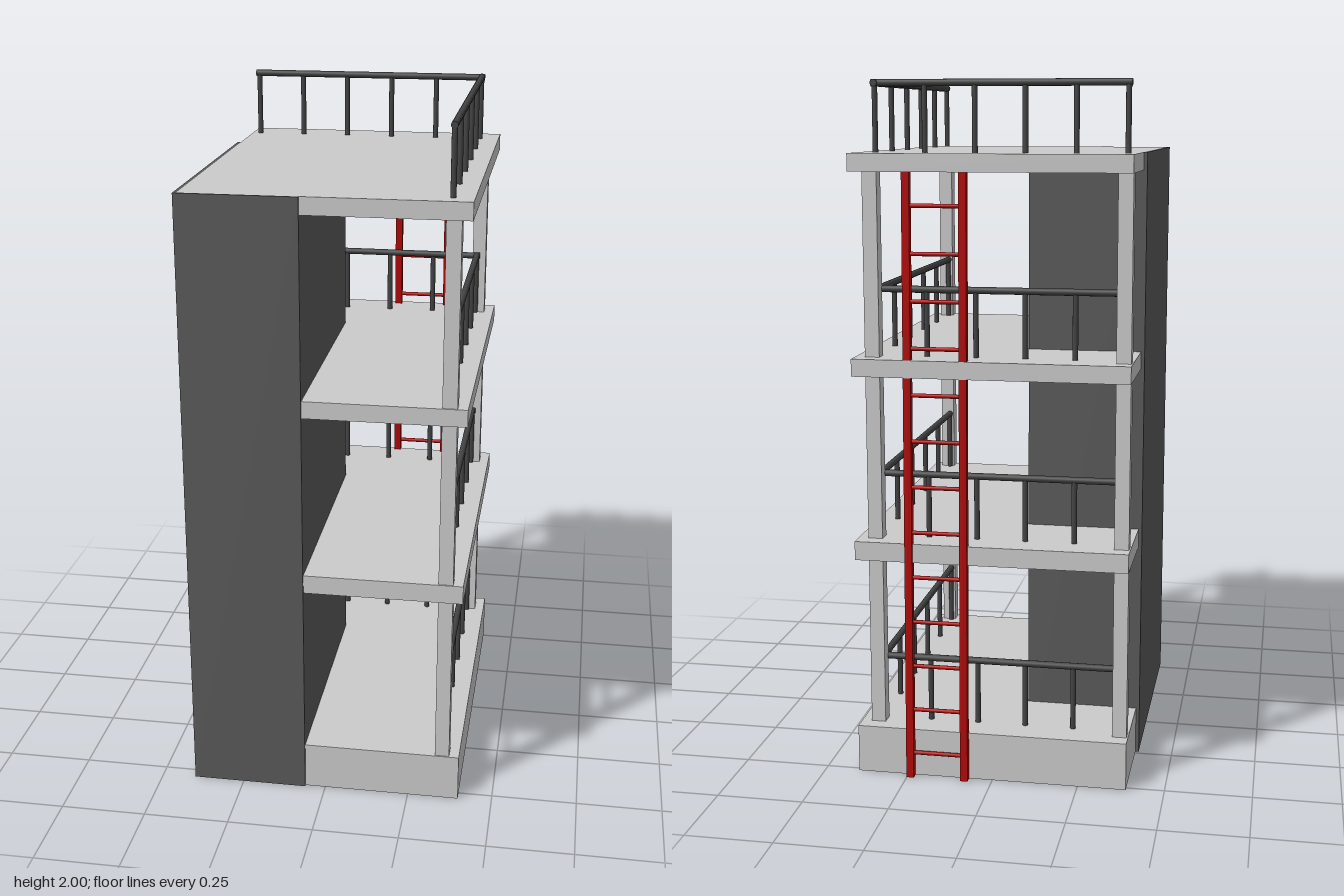
import * as THREE from 'three';

const grey = new THREE.MeshStandardMaterial({ color: 0xcccccc });
const wallMat = new THREE.MeshStandardMaterial({ color: 0x5a5a5a });
const railMat = new THREE.MeshStandardMaterial({ color: 0x444444 });
const red = new THREE.MeshStandardMaterial({ color: 0xb00808 });

// Box given by its limits on each axis
function box(parent, name, mat, [x0, x1], [y0, y1], [z0, z1]) {
  const m = new THREE.Mesh(new THREE.BoxGeometry(x1 - x0, y1 - y0, z1 - z0), mat);
  m.position.set((x0 + x1) / 2, (y0 + y1) / 2, (z0 + z1) / 2);
  m.name = name;
  parent.add(m);
}

// Round bar between two points
function bar(parent, name, mat, a, b, r) {
  const p = new THREE.Vector3(...a), q = new THREE.Vector3(...b);
  const d = q.clone().sub(p);
  const m = new THREE.Mesh(new THREE.CylinderGeometry(r, r, d.length(), 12), mat);
  m.position.copy(p).add(q).multiplyScalar(0.5);
  m.quaternion.setFromUnitVectors(new THREE.Vector3(0, 1, 0), d.normalize());
  m.name = name;
  parent.add(m);
}

function group(parent, name) {
  const g = new THREE.Group();
  g.name = name;
  parent.add(g);
  return g;
}

// L-shaped railing along the back and the left side of one floor
function railing(parent, floorY) {
  const g = group(parent, 'railing');
  const y = floorY + 0.19, x0 = -0.365, x1 = 0.342, z0 = -0.425, z1 = 0.479;
  bar(g, 'backHandrail', railMat, [x0 - 0.01, y, z0], [x1 + 0.01, y, z0], 0.01);
  bar(g, 'sideHandrail', railMat, [x1, y, z0 - 0.014], [x1, y, z1 + 0.01], 0.01);
  for (let i = 0; i < 6; i++) {
    const x = x0 + (x1 - x0) * i / 5, z = z0 + (z1 - z0) * i / 5;
    bar(g, 'backPost', railMat, [x, floorY - 0.01, z0], [x, y, z0], 0.008);
    if (i > 0) bar(g, 'sidePost', railMat, [x1, floorY - 0.01, z], [x1, y, z], 0.008);
  }
}

export function createModel() {
  const model = new THREE.Group();
  model.name = 'tower';
  const X = [-0.39, 0.4], Z = [-0.515, 0.53], t = 0.004;

  // Hollow base, open underneath
  const base = group(model, 'base');
  box(base, 'baseTop', grey, X, [0.14 - t, 0.14], Z);
  box(base, 'baseBack', grey, X, [0, 0.14 - t], [Z[0], Z[0] + t]);
  box(base, 'baseFront', grey, X, [0, 0.14 - t], [Z[1] - t, Z[1]]);
  box(base, 'baseRight', grey, [X[0], X[0] + t], [0, 0.14 - t], [Z[0] + t, Z[1] - t]);
  box(base, 'baseLeft', grey, [X[1] - t, X[1]], [0, 0.14 - t], [Z[0] + t, Z[1] - t]);

  // Floor slabs and roof
  box(model, 'secondFloor', grey, X, [0.645, 0.7], Z);
  box(model, 'thirdFloor', grey, X, [1.18, 1.23], Z);
  box(model, 'roof', grey, X, [1.75, 1.8], Z);

  // Corner pillars
  for (const [x, z] of [[0.35, 0.505], [0.35, -0.45], [-0.365, -0.45]])
    box(model, 'pillar', grey, [x - 0.021, x + 0.021], [0, 1.76], [z - 0.021, z + 0.021]);

  // Enclosed shaft made of four wall panels
  const shaft = group(model, 'shaft');
  box(shaft, 'shaftFront', wallMat, [-0.4, -0.06], [0, 1.8], [0.53, 0.537]);
  box(shaft, 'shaftRight', wallMat, [-0.4, -0.39], [0, 1.8], [-0.24, 0.53]);
  box(shaft, 'shaftLeft', wallMat, [-0.064, -0.06], [0, 1.79], [-0.24, 0.53]);
  box(shaft, 'shaftBack', wallMat, [-0.39, -0.064], [0, 1.79], [-0.24, -0.236]);

  // Railings on every level
  for (const y of [0.14, 0.695, 1.23, 1.8]) railing(model, y);

  // Ladder leaning on the back
  const ladder = group(model, 'ladder');
  const height = 1.75, lean = Math.atan(0.038 / height);
  ladder.position.set(0.16, 0, -0.528);
  ladder.rotation.x = lean;
  for (const s of [-1, 1])
    box(ladder, 'ladderRail', red, [s * 0.08 - 0.011, s * 0.08 + 0.011], [0, height], [-0.011, 0.011]);
  for (let i = 0; i < 13; i++) {
    const y = 0.074 + i * 0.132;
    bar(ladder, 'rung', red, [-0.08, y, 0], [0.08, y, 0], 0.006);
  }
  return model;
}
